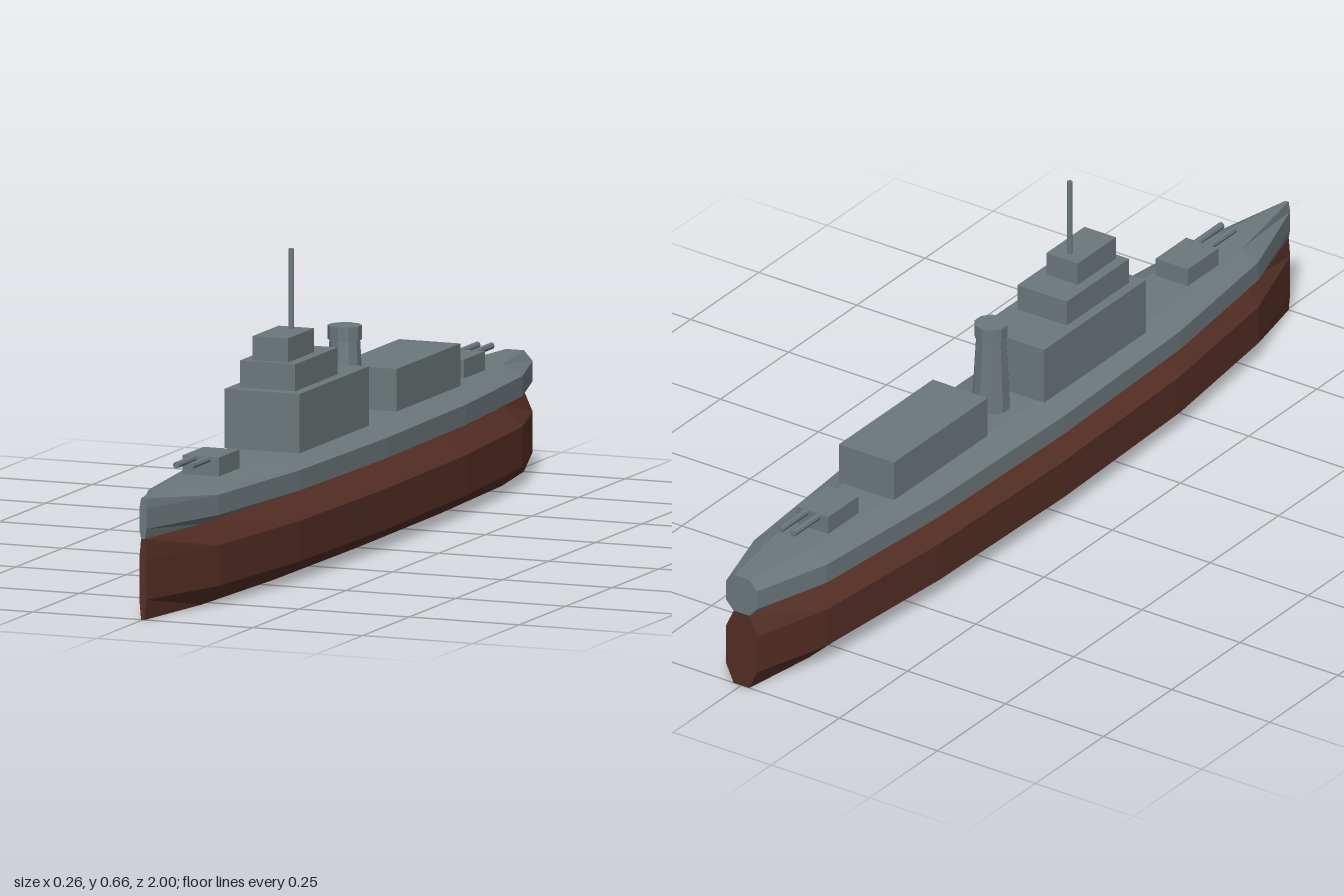
import * as THREE from 'three';

const material = (name, color) => {
  const m = new THREE.MeshStandardMaterial({ color, flatShading: true });
  m.name = name;
  return m;
};

// Hull stations from bow to stern: [z, half width]
const STATIONS = [[1, 0.008], [0.78, 0.08], [0.44, 0.118], [0, 0.13], [-0.45, 0.122], [-0.82, 0.093], [-1, 0.04]];

// Lofted hull band with a chamfered eight-sided section between two heights
function hullGeometry(y0, y1) {
  const section = [[0.5, 0], [1, 0.25], [1, 0.75], [0.5, 1], [-0.5, 1], [-1, 0.75], [-1, 0.25], [-0.5, 0]];
  const n = section.length;
  const positions = [], index = [];
  for (const [z, w] of STATIONS) {
    for (const [sx, sy] of section) positions.push(sx * w, y0 + sy * (y1 - y0), z);
  }
  for (let i = 0; i < STATIONS.length - 1; i++) {
    for (let j = 0; j < n; j++) {
      const a = i * n + j, b = i * n + (j + 1) % n;
      index.push(a, a + n, b, b, a + n, b + n);
    }
  }
  // Bow and stern end faces
  const last = (STATIONS.length - 1) * n;
  for (let j = 1; j < n - 1; j++) {
    index.push(0, j, j + 1, last, last + j + 1, last + j);
  }
  const g = new THREE.BufferGeometry();
  g.setAttribute('position', new THREE.Float32BufferAttribute(positions, 3));
  g.setIndex(index);
  const flat = g.toNonIndexed();
  flat.computeVertexNormals();
  return flat;
}

export function createModel() {
  const ship = new THREE.Group();
  ship.name = 'warship';
  const grey = material('naval grey', 0x6c777b);
  const red = material('hull red', 0x542e24);
  const DECK = 0.258;

  const add = (name, geometry, mat = grey, parent = ship) => {
    const mesh = new THREE.Mesh(geometry, mat);
    mesh.name = name;
    parent.add(mesh);
    return mesh;
  };

  // Box given by half width, height range and z range
  const block = (name, hw, y0, y1, z0, z1, parent = ship) =>
    add(name, new THREE.BoxGeometry(hw * 2, y1 - y0, z1 - z0), grey, parent)
      .position.set(0, (y0 + y1) / 2, (z0 + z1) / 2);

  // Upright cylinder between two heights
  const column = (name, rTop, rBottom, y0, y1, z, sides) =>
    add(name, new THREE.CylinderGeometry(rTop, rBottom, y1 - y0, sides)).position.set(0, (y0 + y1) / 2, z);

  // Hull
  add('lowerHull', hullGeometry(0, 0.172), red);
  add('upperHull', hullGeometry(0.172, DECK));

  // Stepped bridge and mast
  block('bridgeBase', 0.085, DECK, 0.384, -0.013, 0.36);
  block('bridgeMiddle', 0.063, 0.384, 0.441, 0.102, 0.33);
  block('bridgeTop', 0.04, 0.441, 0.492, 0.175, 0.315);
  column('mast', 0.006, 0.006, 0.492, 0.663, 0.203, 8);

  // Funnel with a slightly wider rim
  column('funnel', 0.032, 0.042, DECK, 0.43, -0.085, 10);
  column('funnelRim', 0.036, 0.036, 0.425, 0.455, -0.085, 10);

  // Aft deckhouse
  block('aftDeckhouse', 0.07, DECK, 0.348, -0.542, -0.198);

  // Twin-gun turrets, the aft one facing astern
  for (const [name, z, turn] of [['frontTurret', 0.633, 0], ['aftTurret', -0.685, Math.PI]]) {
    const turret = new THREE.Group();
    turret.name = name;
    turret.position.z = z;
    turret.rotation.y = turn;
    block('turretHouse', 0.041, DECK, 0.298, -0.056, 0.056, turret);
    for (const side of [-1, 1]) {
      const barrel = add('gunBarrel', new THREE.CylinderGeometry(0.0075, 0.0075, 0.11, 8).rotateX(Math.PI / 2), grey, turret);
      barrel.position.set(side * 0.016, 0.293, 0.095);
    }
    ship.add(turret);
  }

  return ship;
}
